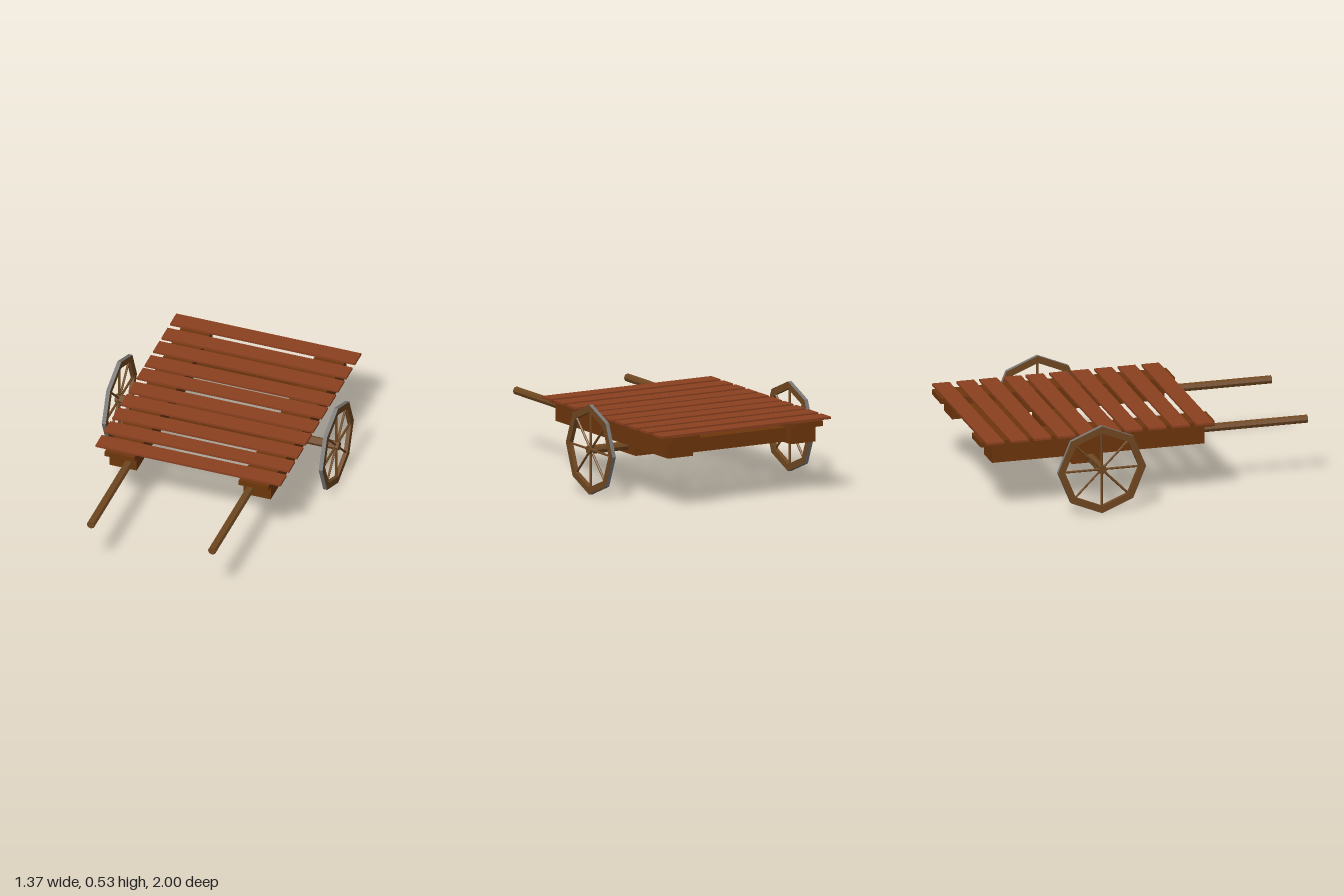
import * as THREE from 'three';

const mat = (color) => new THREE.MeshStandardMaterial({ color, flatShading: true });

export function createModel() {
  const cart = new THREE.Group();
  const plankMat = mat(0x8b4020);
  const beamMat = mat(0x6e360c);
  const poleMat = mat(0x704821);
  const ironMat = mat(0x777777);
  ironMat.side = THREE.DoubleSide;

  const add = (name, geometry, material, parent = cart) => {
    const mesh = new THREE.Mesh(geometry, material);
    mesh.name = name;
    parent.add(mesh);
    return mesh;
  };

  // Box given by its extents on each axis
  const box = (name, [x0, x1], [y0, y1], [z0, z1], material) => {
    const mesh = add(name, new THREE.BoxGeometry(x1 - x0, y1 - y0, z1 - z0), material);
    mesh.position.set((x0 + x1) / 2, (y0 + y1) / 2, (z0 + z1) / 2);
  };

  // Deck planks, slightly unevenly spaced
  const plankZ = [-0.93, -0.783, -0.645, -0.5, -0.368, -0.225, -0.095, 0.046, 0.187, 0.33];
  for (const z of plankZ) {
    box('plank', [-0.558, 0.579], [0.436, 0.449], [z - 0.053, z + 0.053], plankMat);
  }

  // Each side: runner under the planks, main beam and pull handle
  const centre = 0.0105;
  for (const side of [-1, 1]) {
    const x = centre + side * 0.412;
    box('runner', [x - 0.091, x + 0.091], [0.404, 0.436], [-1, 0.407], beamMat);
    box('sideBeam', [x - 0.084, x + 0.084], [0.302, 0.404], [-0.93, 0.347], beamMat);

    const handle = add('handle', new THREE.CylinderGeometry(0.025, 0.025, 0.7, 8), poleMat);
    handle.rotation.x = Math.PI / 2;
    handle.position.set(centre + side * 0.3725, 0.352, 0.65);
  }

  // Cross members
  box('rearCrossBeam', [-0.318, 0.337], [0.31, 0.392], [-0.88, -0.66], beamMat);
  box('axleBlock', [-0.403, 0.425], [0.221, 0.31], [-0.425, -0.24], beamMat);

  // Axle
  const axleY = 0.266, axleZ = -0.324;
  const axle = add('axle', new THREE.CylinderGeometry(0.026, 0.026, 1.374, 8), poleMat);
  axle.rotation.z = Math.PI / 2;
  axle.position.set(-0.002, axleY, axleZ);

  // Eight-sided wheels: wooden rim, iron tyre and spokes
  const outer = 0.265, inner = 0.222, width = 0.024;
  const octagon = (r) => Array.from({ length: 8 }, (_, i) =>
    new THREE.Vector2(r * Math.cos(i * Math.PI / 4), r * Math.sin(i * Math.PI / 4)));
  const rimShape = new THREE.Shape(octagon(outer - 0.001));
  rimShape.holes.push(new THREE.Path(octagon(inner)));
  const rimGeo = new THREE.ExtrudeGeometry(rimShape, { depth: width, bevelEnabled: false });
  rimGeo.translate(0, 0, -width / 2).rotateY(Math.PI / 2);
  const tyreGeo = new THREE.CylinderGeometry(outer, outer, width, 8, 1, true).rotateZ(Math.PI / 2);
  const spokeGeo = new THREE.CylinderGeometry(0.007, 0.007, 0.215, 6).translate(0, 0.1225, 0);

  for (const x of [-0.668, 0.665]) {
    const wheel = new THREE.Group();
    wheel.name = 'wheel';
    wheel.position.set(x, axleY, axleZ);
    add('rim', rimGeo, poleMat, wheel);
    add('tyre', tyreGeo, ironMat, wheel);
    for (let i = 0; i < 8; i++) {
      add('spoke', spokeGeo, poleMat, wheel).rotation.x = i * Math.PI / 4;
    }
    cart.add(wheel);
  }

  return cart;
}
